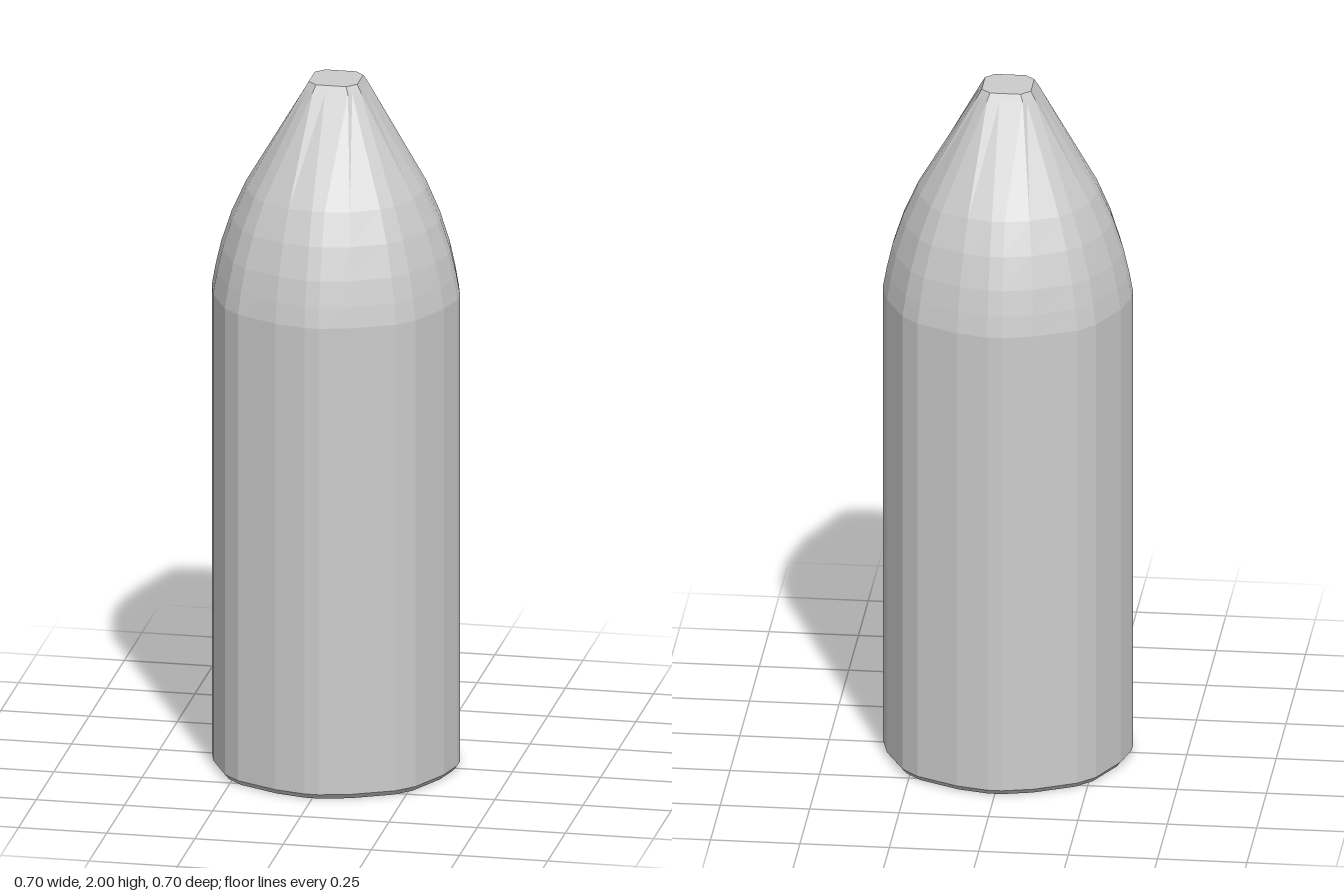
import * as THREE from 'three';

// One quarter of the faceted body outline and of the chamfered square tip, as (x, z)
const BODY = [[0.348, -0.02], [0.348, 0.02], [0.327, 0.107], [0.27, 0.224], [0.224, 0.27], [0.107, 0.327]];
const TIP = [[0.08, -0.015], [0.08, 0.015], [0.08, 0.05], [0.07, 0.06], [0.06, 0.07], [0.05, 0.08]];

// Turn a quarter outline into a full ring
function fullRing(quarter) {
  const ring = [];
  for (let q = 0; q < 4; q++) {
    for (const [x, z] of quarter) {
      ring.push([[x, z], [-z, x], [-x, -z], [z, -x]][q]);
    }
  }
  return ring;
}

// Skin horizontal rings of points, closing both ends
function loft(rings) {
  const n = rings[0].length;
  const pos = rings.flat(2);
  const index = [];
  for (let r = 0; r < rings.length - 1; r++) {
    for (let i = 0; i < n; i++) {
      const a = r * n + i, b = r * n + (i + 1) % n;
      index.push(a, a + n, b, b, a + n, b + n);
    }
  }
  const bottom = rings.length * n, top = bottom + 1, last = (rings.length - 1) * n;
  pos.push(0, rings[0][0][1], 0, 0, rings[rings.length - 1][0][1], 0);
  for (let i = 0; i < n; i++) {
    const j = (i + 1) % n;
    index.push(bottom, i, j, top, last + j, last + i);
  }
  const geo = new THREE.BufferGeometry();
  geo.setAttribute('position', new THREE.Float32BufferAttribute(pos, 3));
  geo.setIndex(index);
  const flat = geo.toNonIndexed();
  flat.computeVertexNormals();
  return flat;
}

export function createModel() {
  const group = new THREE.Group();
  group.name = 'taperedCylinder';
  const body = fullRing(BODY), tip = fullRing(TIP);

  // Each level: height, blend from body (0) to tip (1), scale
  const levels = [
    [0, 0, 0.965], [0.015, 0, 1], [1.38, 0, 1],
    [1.44, 0.04, 1], [1.51, 0.1, 1], [1.6, 0.21, 1], [1.69, 0.36, 1],
    [1.98, 1, 1], [2, 1, 0.86],
  ];
  const rings = levels.map(([y, t, s]) => body.map(([x, z], i) => [
    s * THREE.MathUtils.lerp(x, tip[i][0], t), y, s * THREE.MathUtils.lerp(z, tip[i][1], t),
  ]));

  // Straight body, domed shoulder and flat-ended nose in one skin
  const shell = new THREE.Mesh(loft(rings), new THREE.MeshStandardMaterial({ color: 0xcccccc, flatShading: true }));
  shell.name = 'bodyAndNose';
  group.add(shell);
  return group;
}
